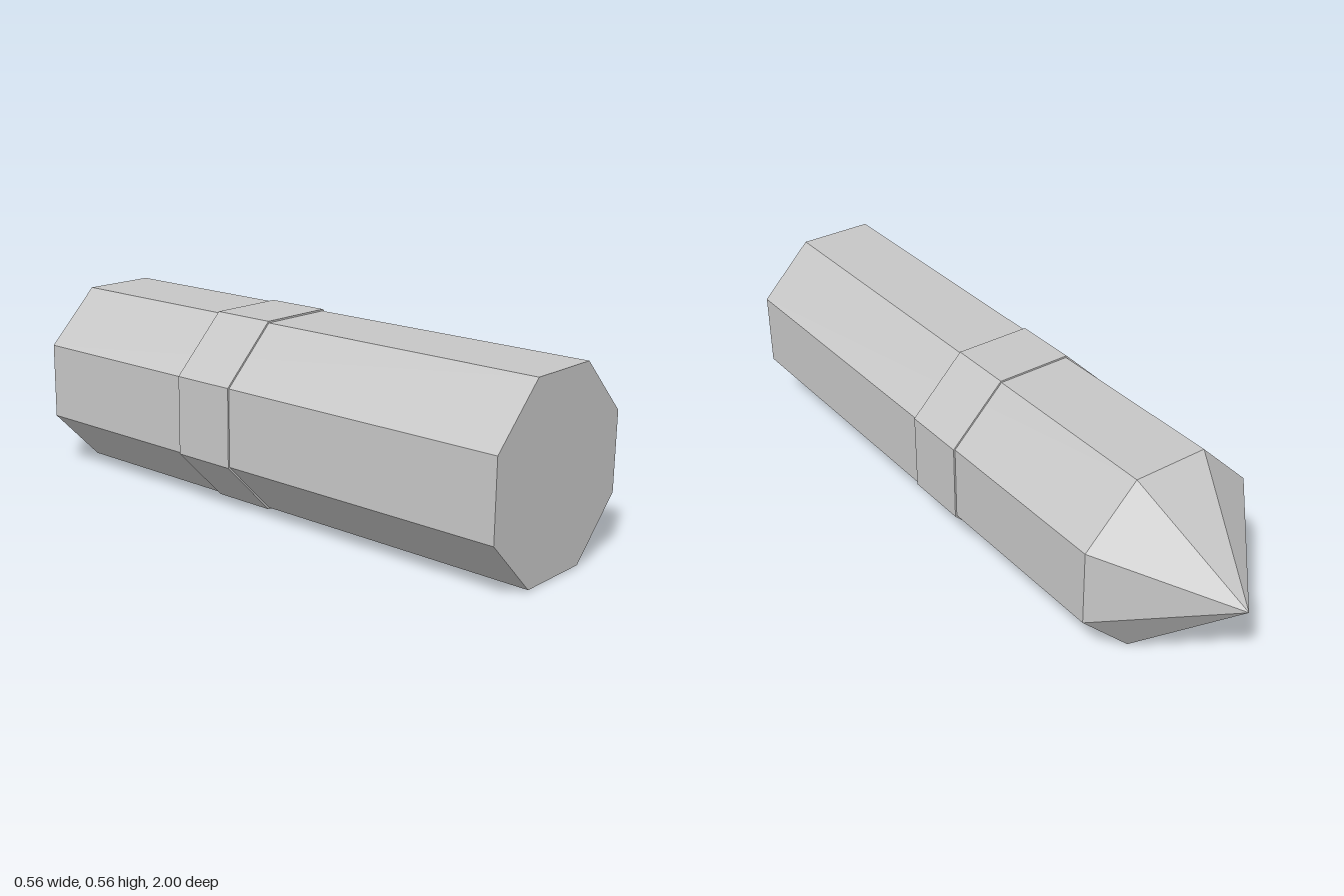
import * as THREE from 'three';

const SIDES = 8;
const BODY = 0.2775; // flat-to-centre distance of the shaft
const BAND = 0.2825; // flat-to-centre distance of the collar

const grey = new THREE.MeshStandardMaterial({ color: 0xc6c6c6, flatShading: true });
grey.name = 'grey';

// Eight-sided part turned from [apothem, distance towards the back] pairs, lying along z
function octagonalPart(name, profile) {
  const points = profile.map(([a, d]) => new THREE.Vector2(a / Math.cos(Math.PI / SIDES), d));
  const geometry = new THREE.LatheGeometry(points, SIDES, Math.PI / SIDES);
  geometry.rotateX(-Math.PI / 2);
  const mesh = new THREE.Mesh(geometry, grey);
  mesh.name = name;
  mesh.position.y = BAND;
  return mesh;
}

export function createModel() {
  const model = new THREE.Group();
  model.name = 'pointedShaft';
  // Flat front end and straight shaft
  model.add(octagonalPart('shaft', [[0, -1], [BODY, -1], [BODY, 0.68]]));
  // Pointed back end
  model.add(octagonalPart('tip', [[BODY, 0.68], [0, 1]]));
  // Slightly raised collar around the middle
  model.add(octagonalPart('collar', [[BODY, -0.1], [BAND, -0.1], [BAND, 0.1], [BODY, 0.1]]));
  return model;
}
